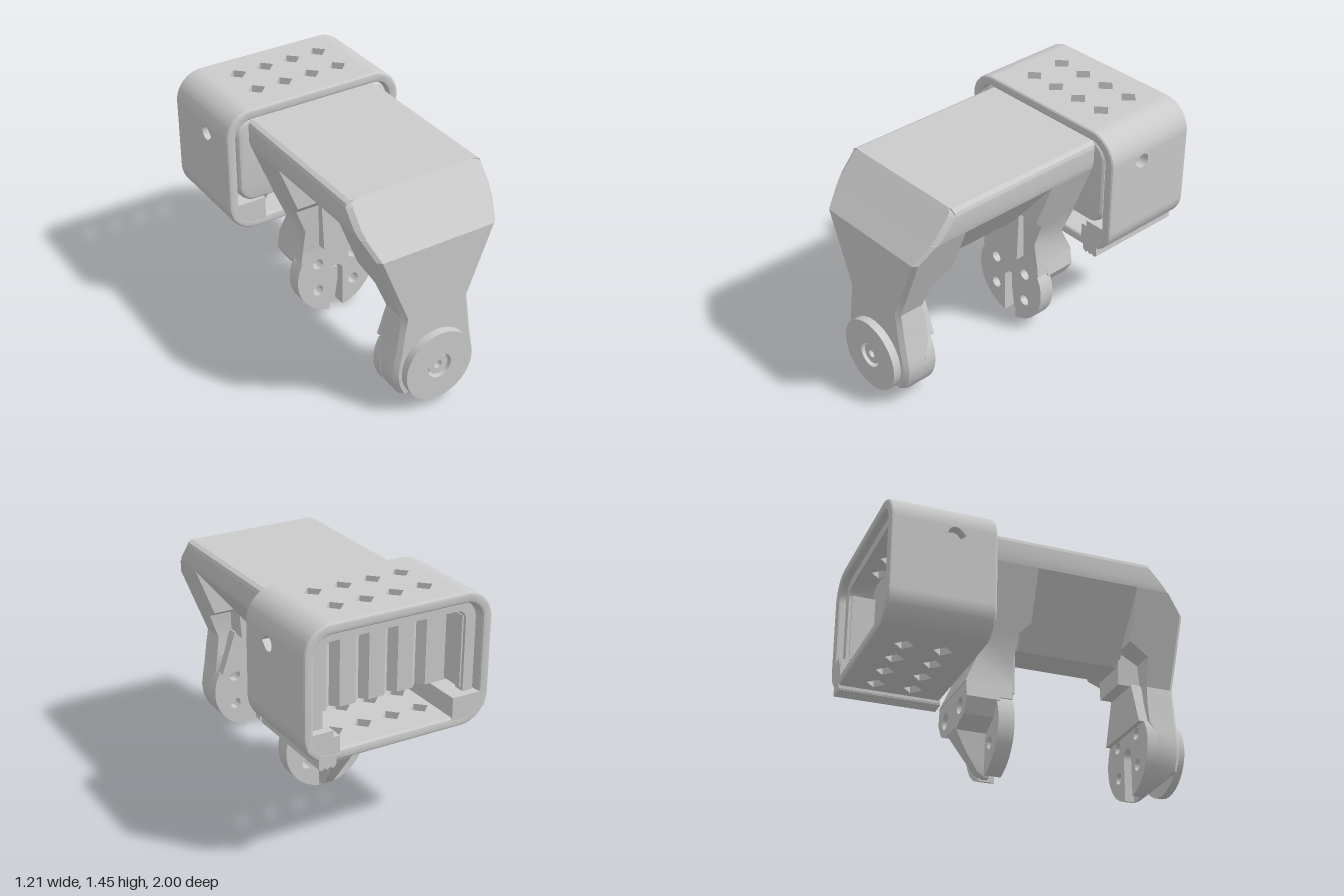
import * as THREE from 'three';
import { toCreasedNormals } from 'three/addons/utils/BufferGeometryUtils.js';

const mat = new THREE.MeshStandardMaterial({ color: 0xcccccc });
const CY = 0.28, R = 0.278; // pivot height and knuckle radius
const HOLE_X = [-0.275, -0.085, 0.105, 0.295]; // columns of diamond holes
const HOLE_Z = [0.562, 0.795]; // rows of diamond holes, measured backwards
const D = 0.058; // half diagonal of a diamond hole

export function createModel() {
  const root = new THREE.Group();

  const group = name => {
    const g = new THREE.Group();
    g.name = name;
    root.add(g);
    return g;
  };
  const add = (name, geo, parent) => {
    const m = new THREE.Mesh(toCreasedNormals(geo, 0.5), mat);
    m.name = name;
    parent.add(m);
  };
  const box = (name, x0, x1, y0, y1, z0, z1, parent) =>
    add(name, new THREE.BoxGeometry(x1 - x0, y1 - y0, z1 - z0)
      .translate((x0 + x1) / 2, (y0 + y1) / 2, (z0 + z1) / 2), parent);
  // extrude an outline in the front plane from z0 to z1
  const slab = (name, shape, z0, z1, parent, bevel = 0) =>
    add(name, new THREE.ExtrudeGeometry(shape, {
      depth: z1 - z0 - 2 * bevel, curveSegments: 16, bevelEnabled: bevel > 0,
      bevelSize: bevel, bevelOffset: -bevel, bevelThickness: bevel, bevelSegments: 3,
    }).translate(0, 0, z0 + bevel), parent);
  // extrude a plan outline (x, -z) upwards from y0 to y1
  const plan = (name, shape, y0, y1, parent) =>
    add(name, new THREE.ExtrudeGeometry(shape, { depth: y1 - y0, bevelEnabled: false })
      .rotateX(-Math.PI / 2).translate(0, y0, 0), parent);
  // loft from top to bottom: [y, half width, front z, back z], front edges chamfered by c
  const stack = (name, rows, parent, c = 0) => {
    const pos = [];
    const ring = ([y, w, f, b]) => c
      ? [[w - c, y, f], [w, y, f - c], [w, y, b], [-w, y, b], [-w, y, f - c], [c - w, y, f]]
      : [[w, y, f], [w, y, b], [-w, y, b], [-w, y, f]];
    const tri = (p, q, r) => pos.push(...p, ...q, ...r);
    const rings = rows.map(ring), n = rings[0].length, last = rings[rings.length - 1];
    for (let k = 1; k + 1 < n; k++) {
      tri(rings[0][0], rings[0][k], rings[0][k + 1]);
      tri(last[0], last[k + 1], last[k]);
    }
    for (let i = 0; i + 1 < rings.length; i++)
      for (let k = 0; k < n; k++) {
        const j = (k + 1) % n, a = rings[i], b = rings[i + 1];
        tri(a[k], b[k], b[j]);
        tri(a[k], b[j], a[j]);
      }
    const g = new THREE.BufferGeometry();
    g.setAttribute('position', new THREE.Float32BufferAttribute(pos, 3));
    g.computeVertexNormals();
    add(name, g, parent);
  };
  const circle = (x, y, r) => new THREE.Path().absarc(x, y, r, 0, Math.PI * 2, true);
  const poly = (pts, Kind = THREE.Shape) => new Kind(pts.map(p => new THREE.Vector2(...p)));
  const diamond = (x, z) => poly([[x - D, z], [x, z + D], [x + D, z], [x, z - D]], THREE.Path);
  const rounded = (x0, x1, y0, y1, r, Kind = THREE.Shape) => {
    const s = new Kind();
    s.absarc(x1 - r, y1 - r, r, 0, Math.PI / 2);
    s.absarc(x0 + r, y1 - r, r, Math.PI / 2, Math.PI);
    s.absarc(x0 + r, y0 + r, r, Math.PI, Math.PI * 1.5);
    s.absarc(x1 - r, y0 + r, r, Math.PI * 1.5, Math.PI * 2);
    s.closePath();
    return s;
  };
  const roundW = y => Math.sqrt(R * R - (y - CY) ** 2);
  const taperW = y => 0.222 + (y - 0.66) * 0.4;

  // Bridge: top plate with screw holes over a tapering core
  const bridge = group('bridge');
  const top = poly([[-0.42, 0.4], [0.42, 0.4], [0.42, -0.7], [-0.42, -0.7]]);
  for (const x of [-0.29, 0.29]) for (const z of [-0.13, 0.46]) top.holes.push(circle(x, -z, 0.02));
  plan('bridgeTop', top, 1.35, 1.385, bridge);
  for (const s of [-1, 1])
    slab('bridgeEdge', poly([[s * 0.42, 1.35], [s * 0.452, 1.35], [s * 0.445, 1.372], [s * 0.42, 1.385]]),
      -0.4, 0.7, bridge);
  stack('bridgeNose', [[1.385, 0.42, 0.7, 0.65], [1.372, 0.445, 0.712, 0.65], [1.35, 0.452, 0.731, 0.65]],
    bridge, 0.03);
  stack('bridgeCore', [[1.35, 0.452, 0.731, -0.4], [1.25, 0.452, 0.818, -0.4],
    [1.21, taperW(1.21), 0.853, -0.4]], bridge, 0.03);
  stack('bridgeKeel', [[1.21, taperW(1.21), 0.63, -0.04], [0.81, 0.11, 0.63, -0.04]], bridge);

  // Knuckle plate with a ring of holes and an open slot
  const knuckle = (name, z0, z1, parent) => {
    const a = Math.asin((0.42 - CY) / R), sw = 0.05, b = Math.asin(sw / R);
    const s = new THREE.Shape();
    s.absarc(0, CY, R, Math.PI - a, Math.PI * 1.5 - b);
    s.lineTo(-sw, CY);
    s.absarc(0, CY, sw, Math.PI, 0, true);
    s.absarc(0, CY, R, -Math.PI / 2 + b, a);
    s.closePath();
    for (const x of [-0.13, 0.13]) for (const y of [-0.1, 0.1]) s.holes.push(circle(x, CY + y, 0.036));
    slab(name, s, z0, z1, parent);
  };

  // Front leg
  const front = group('frontLeg');
  const rows = [[1.21, taperW(1.21), 0.853, 0.62], [1.1, taperW(1.1), 0.95, 0.62],
    [0.9, taperW(0.9), 0.95, 0.62], [0.83, taperW(0.83), 0.95, 0.75],
    [0.66, 0.222, 0.95, 0.77], [0.56, 0.238, 0.95, 0.76], [0.42, 0.256, 0.95, 0.76]];
  for (const y of [0.35, 0.28, 0.2, 0.13, 0.09, 0.06, 0.03, 0.005])
    rows.push([y, roundW(y), 0.95 - Math.max(0, 0.13 - y) * 1.15, 0.79]);
  stack('frontLegBody', rows, front, 0.025);
  stack('frontLegRib', [[0.95, 0.15, 0.8, 0.62], [0.69, 0.13, 0.8, 0.62]], front);
  stack('frontLegStep', [[0.7, 0.14, 0.8, 0.7], [0.42, 0.235, 0.8, 0.7]], front);
  knuckle('frontKnuckle', 0.73, 0.8, front);

  // Pivot disc with a recessed collar
  const disc = new THREE.Shape().absarc(0, CY, 0.23, 0, Math.PI * 2);
  disc.holes.push(circle(0, CY, 0.08));
  slab('pivotDisc', disc, 0.95, 1, front);
  const collar = new THREE.Shape().absarc(0, CY, 0.065, 0, Math.PI * 2);
  collar.holes.push(circle(0, CY, 0.025));
  slab('pivotCollar', collar, 0.94, 0.985, front);

  // Rear leg, with a bored lobe and a ridge running down its back
  const rear = group('rearLeg');
  stack('rearLegBody', [[1.21, taperW(1.21), -0.03, -0.4], [0.9, taperW(0.9), -0.03, -0.38],
    [0.83, taperW(0.83), -0.1, -0.36], [0.66, 0.222, -0.11, -0.34], [0.5, 0.24, -0.12, -0.41]], rear);
  stack('rearLegNeck', [[0.5, 0.24, -0.12, -0.21], [0.42, 0.25, -0.12, -0.21]], rear);
  const lobe = poly([[-0.24, 0.5], [-0.255, 0.4], [-0.2, 0.31], [-0.07, 0.26],
    [0.07, 0.26], [0.2, 0.31], [0.255, 0.4], [0.24, 0.5]]);
  for (const x of [-0.13, 0.13]) lobe.holes.push(circle(x, 0.385, 0.05));
  slab('rearLobe', lobe, -0.405, -0.2, rear);
  stack('rearLegRidge', [[0.27, 0.07, -0.18, -0.41], [0.14, 0.045, -0.18, -0.33],
    [0.03, 0.03, -0.18, -0.255], [0.005, 0.02, -0.18, -0.21]], rear);
  stack('rearLegRib', [[0.95, 0.14, -0.06, -0.2], [0.52, 0.12, -0.06, -0.2]], rear);
  knuckle('rearKnuckle', -0.22, -0.12, rear);

  // Sleeve: perforated plates and rounded corners between two softened rims
  const sleeve = group('sleeve');
  const X = 0.605, Y0 = 0.64, Y1 = 1.455, T = 0.065, RO = 0.18, ZB = -1, ZF = -0.35;
  const xi = X - RO, zb = ZB + 0.02, zf = ZF - 0.02;
  for (const z of [ZB, ZF - 0.04]) {
    const rim = rounded(-X, X, Y0, Y1, RO);
    rim.holes.push(rounded(T - X, X - T, Y0 + T, Y1 - T, RO - T, THREE.Path));
    slab('sleeveRim', rim, z, z + 0.04, sleeve, 0.018);
  }
  for (const [name, y] of [['sleeveTop', Y1 - T], ['sleeveBottom', Y0]]) {
    const s = poly([[-xi, -zf], [xi, -zf], [xi, -zb], [-xi, -zb]]);
    for (const x of HOLE_X) for (const z of HOLE_Z) s.holes.push(diamond(x, z));
    plan(name, s, y, y + T, sleeve);
  }
  for (const side of [-1, 1]) {
    // side wall with a teardrop hole; shape x runs along -z
    const s = poly([[-zf, Y0 + RO], [-zb, Y0 + RO], [-zb, Y1 - RO], [-zf, Y1 - RO]]);
    const hole = new THREE.Path().absarc(0.61, 1.23, 0.045, Math.PI * 0.75, -Math.PI * 0.75, true);
    hole.lineTo(0.545, 1.23);
    hole.closePath();
    s.holes.push(hole);
    add('sleeveSide', new THREE.ExtrudeGeometry(s, { depth: T, bevelEnabled: false })
      .rotateY(Math.PI / 2).translate(side > 0 ? X - T : -X, 0, 0), sleeve);
    for (const up of [-1, 1]) {
      const a = up > 0 ? (side > 0 ? 0 : 0.5) : (side > 0 ? 1.5 : 1);
      const cx = side * xi, cy = up > 0 ? Y1 - RO : Y0 + RO;
      const c = new THREE.Shape();
      c.absarc(cx, cy, RO, a * Math.PI, (a + 0.5) * Math.PI);
      c.absarc(cx, cy, RO - T, (a + 0.5) * Math.PI, a * Math.PI, true);
      c.closePath();
      slab('sleeveCorner', c, zb, zf, sleeve);
    }
  }

  // Rails in the lower corners and grip ridges beneath
  slab('rightRail', poly([[-0.36, 0.69], [-0.36, 0.83], [-0.56, 0.83], [-0.58, 0.74], [-0.5, 0.67]]),
    ZB, ZF, sleeve);
  slab('leftRail', poly([[0.38, 0.69], [0.5, 0.67], [0.58, 0.74], [0.56, 0.83], [0.42, 0.83],
    [0.42, 0.79], [0.38, 0.79]]), ZB, ZF, sleeve);
  box('gripBase', 0.4, 0.51, 0.62, 0.68, ZB, ZF, sleeve);
  for (const x of [0.422, 0.458, 0.494])
    add('gripRidge', new THREE.CylinderGeometry(0.018, 0.018, 0.65, 12)
      .rotateX(Math.PI / 2).translate(x, 0.622, -0.675), sleeve);

  // Insert inside the sleeve: rounded front, fluted core, side cheeks and rear frame
  const insert = group('insert');
  slab('insertFront', rounded(-0.53, 0.53, 0.83, 1.388, 0.11), -0.5, -0.355, insert, 0.03);
  const back = 0.78, half = D - HOLE_Z[1] + back;
  const core = [[-0.5, 0.45], [0.5, 0.45], [0.5, back]];
  for (const x of HOLE_X.slice().reverse())
    core.push([x + half, back], [x, HOLE_Z[1] - D], [x - half, back]);
  core.push([-0.5, back]);
  const coreShape = poly(core);
  for (const x of HOLE_X) coreShape.holes.push(diamond(x, HOLE_Z[0]));
  plan('insertCore', coreShape, 0.835, 1.385, insert);
  for (const s of [-1, 1])
    box('insertCheek', s > 0 ? 0.45 : -0.525, s > 0 ? 0.525 : -0.45, 0.85, 1.29, -0.93, -0.45, insert);
  const frame = new THREE.Shape();
  frame.moveTo(-0.527, 0.83);
  frame.lineTo(-0.46, 0.83);
  frame.absarc(-0.4, 1.27, 0.06, Math.PI, Math.PI / 2, true);
  frame.absarc(0.4, 1.27, 0.06, Math.PI / 2, 0, true);
  frame.lineTo(0.46, 0.83);
  frame.lineTo(0.527, 0.83);
  frame.absarc(0.407, 1.27, 0.12, 0, Math.PI / 2);
  frame.absarc(-0.407, 1.27, 0.12, Math.PI / 2, Math.PI);
  frame.closePath();
  slab('insertFrame', frame, -0.95, -0.88, insert);

  return root;
}
